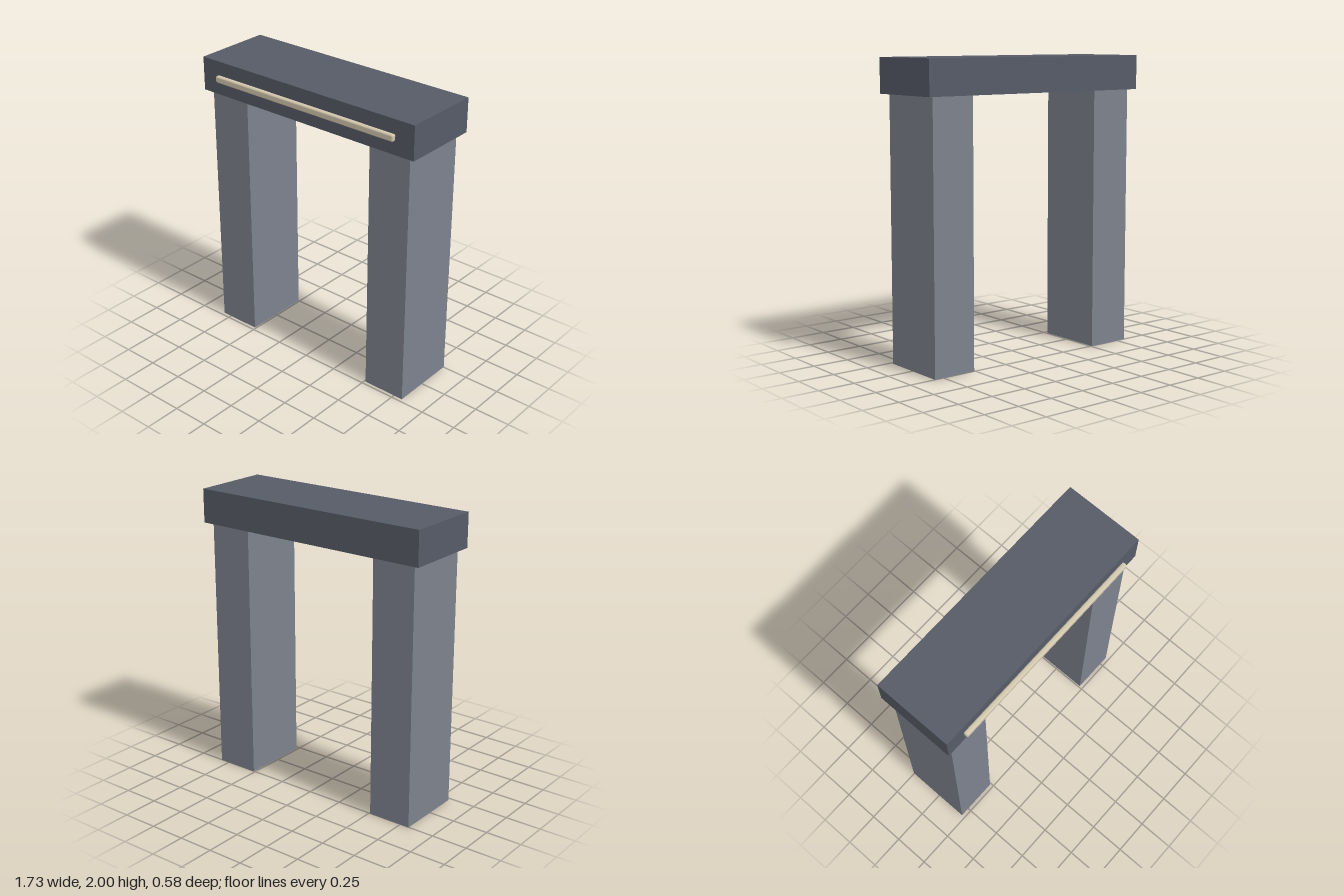
import * as THREE from 'three';
import { RoundedBoxGeometry } from 'three/addons/geometries/RoundedBoxGeometry.js';

function material(name, color) {
  const m = new THREE.MeshStandardMaterial({ color });
  m.name = name;
  return m;
}

export function createModel() {
  const model = new THREE.Group();
  model.name = 'gateway';
  const pillarStone = material('pillar grey', 0x7d828d);
  const lintelStone = material('lintel dark grey', 0x575b67);
  const inlay = material('pale sand', 0xd2c7ae);

  const add = (name, geometry, mat, x, y, z) => {
    const mesh = new THREE.Mesh(geometry, mat);
    mesh.name = name;
    mesh.position.set(x, y, z);
    model.add(mesh);
  };

  // Two square pillars
  for (const [name, side] of [['leftPillar', 1], ['rightPillar', -1]]) {
    add(name, new THREE.BoxGeometry(0.306, 1.77, 0.478), pillarStone, side * 0.663, 0.885, -0.014);
  }

  // Overhanging lintel
  add('lintel', new THREE.BoxGeometry(1.73, 0.232, 0.548), lintelStone, 0, 1.884, -0.016);

  // Rounded light strip on the lintel's front
  add('frontStrip', new RoundedBoxGeometry(1.46, 0.047, 0.034, 2, 0.012), inlay, 0, 1.884, 0.273);

  return model;
}
